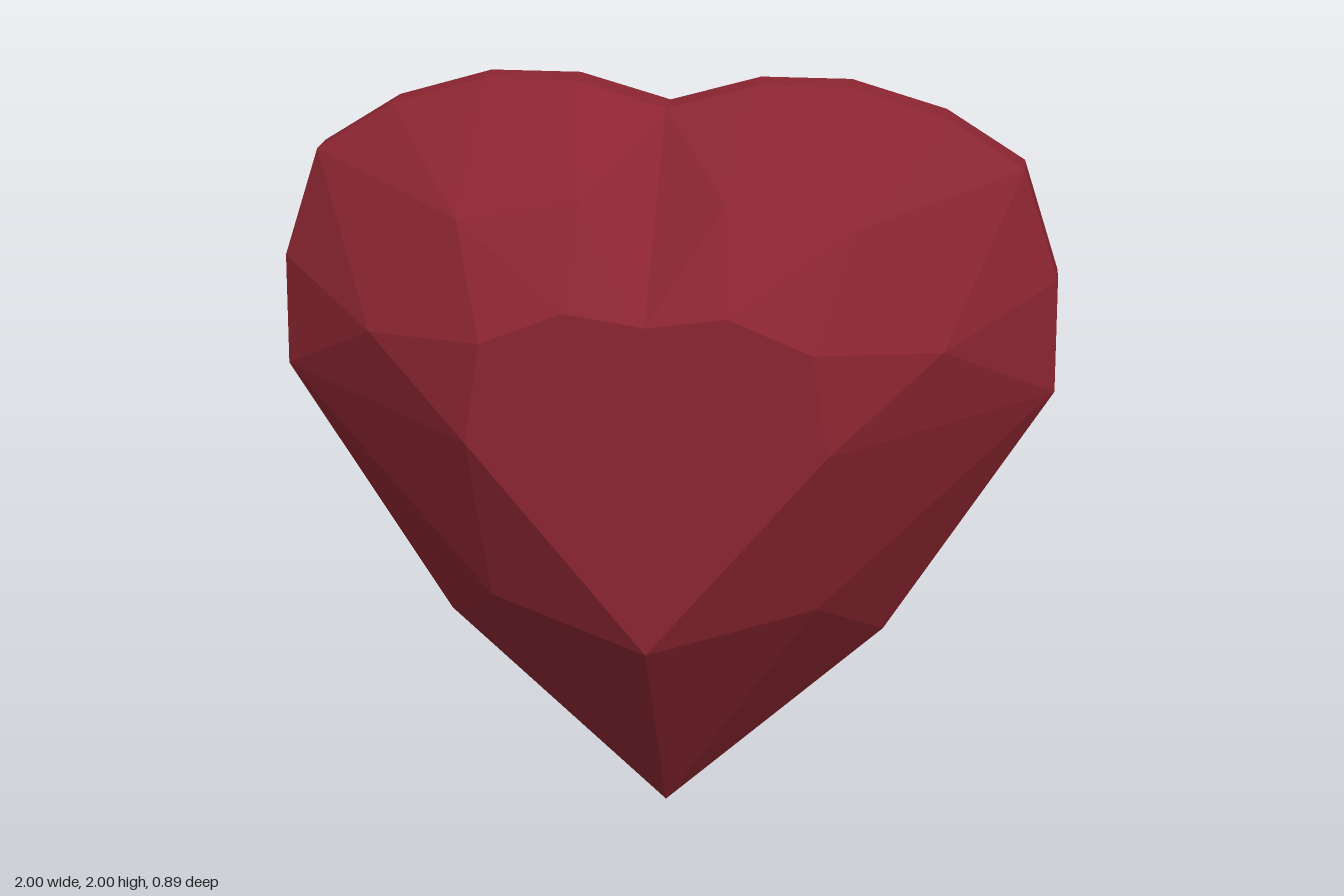
import * as THREE from 'three';

// Right half of the heart outline, from the notch round to the tip
const outline = [[0, 1.93], [0.23, 1.995], [0.46, 1.995], [0.7, 1.925], [0.9, 1.8],
  [0.995, 1.515], [1, 1.22], [0.58, 0.54], [0, 0]];
// Facet corners of the front (table rim, middle ring) and the back (middle ring, peak)
const tableRim = [[0, 1.485], [0.2, 1.515], [0.41, 1.43], [0.45, 1.17], [0, 0.62]];
const frontRing = [[0.18, 1.755], [0.49, 1.7], [0.72, 1.4], [0.42, 0.7]];
const backRing = [[0, 1.57], [0.24, 1.6], [0.5, 1.51], [0.55, 1.17], [0, 0.51]];
const peak = [[0, 1.12]];

// Named corners: F = front girdle edge, G = back girdle edge, T, M, B, P as above
const corners = {};
const addRing = (letter, ring, z) => ring.forEach(([x, y], i) => {
  corners[letter + i] = new THREE.Vector3(x, y, z);
});
addRing('F', outline, 0.015);
addRing('G', outline, -0.085);
addRing('T', tableRim, 0.445);
addRing('M', frontRing, 0.285);
addRing('B', backRing, -0.3);
addRing('P', peak, -0.445);

const tableFacets = 'T0 T4 T1, T1 T4 T2, T2 T4 T3';
const crownFacets = 'F0 T0 M0, T0 T1 M0, F0 M0 F1, F1 M0 F2, F2 M0 M1, M0 T1 M1, T1 T2 M1,' +
  'F2 M1 F3, F3 M1 F4, F4 M1 M2, M1 T2 M2, F4 M2 F5, F5 M2 F6, M2 T2 T3, M2 T3 F6,' +
  'T3 M3 F6, F6 M3 F7, T3 T4 M3, T4 F8 M3, M3 F8 F7';
const backFacets = 'P0 B0 B1, P0 B1 B2, P0 B2 B3, P0 B3 B4, B0 G0 B1, G0 G1 B1, G1 G2 B1,' +
  'B1 G2 B2, G2 G3 B2, G3 G4 B2, G4 G5 B2, B2 G5 B3, G5 G6 B3, G6 G7 B3, B3 G7 B4, G7 G8 B4';
// Girdle wall, two triangles for each outline edge
const girdleFacets = outline.slice(1).map((_, i) =>
  `F${i} F${i + 1} G${i}, G${i} F${i + 1} G${i + 1}`).join(',');

// Flat facets on both halves, each wound so it faces outwards
function facetGeometry(list, outward) {
  const positions = [];
  const normal = new THREE.Vector3();
  for (const side of [1, -1]) {
    for (const facet of list.split(',')) {
      const [a, b, c] = facet.trim().split(' ').map((name) => {
        const p = corners[name].clone();
        p.x *= side;
        return p;
      });
      new THREE.Triangle(a, b, c).getNormal(normal);
      const tri = normal.dot(outward(a, b, c, side)) > 0 ? [a, b, c] : [a, c, b];
      tri.forEach((p) => positions.push(p.x, p.y, p.z));
    }
  }
  const geometry = new THREE.BufferGeometry();
  geometry.setAttribute('position', new THREE.Float32BufferAttribute(positions, 3));
  geometry.computeVertexNormals();
  return geometry;
}

export function createModel() {
  const group = new THREE.Group();
  group.name = 'heartGem';
  const red = new THREE.MeshStandardMaterial({ color: 0x8b2531 });
  red.name = 'deep red';

  const front = () => new THREE.Vector3(0, 0, 1);
  const back = () => new THREE.Vector3(0, 0, -1);
  // Each lobe's wall faces away from a point inside that lobe
  const away = (a, b, c, side) => new THREE.Vector3().add(a).add(b).add(c).divideScalar(3)
    .sub(new THREE.Vector3(0.3 * side, 1.3, -0.035));

  const parts = [
    ['frontTable', tableFacets, front],
    ['frontFacets', crownFacets, front],
    ['girdle', girdleFacets, away],
    ['backFacets', backFacets, back],
  ];
  for (const [name, list, outward] of parts) {
    const mesh = new THREE.Mesh(facetGeometry(list, outward), red);
    mesh.name = name;
    group.add(mesh);
  }
  return group;
}
